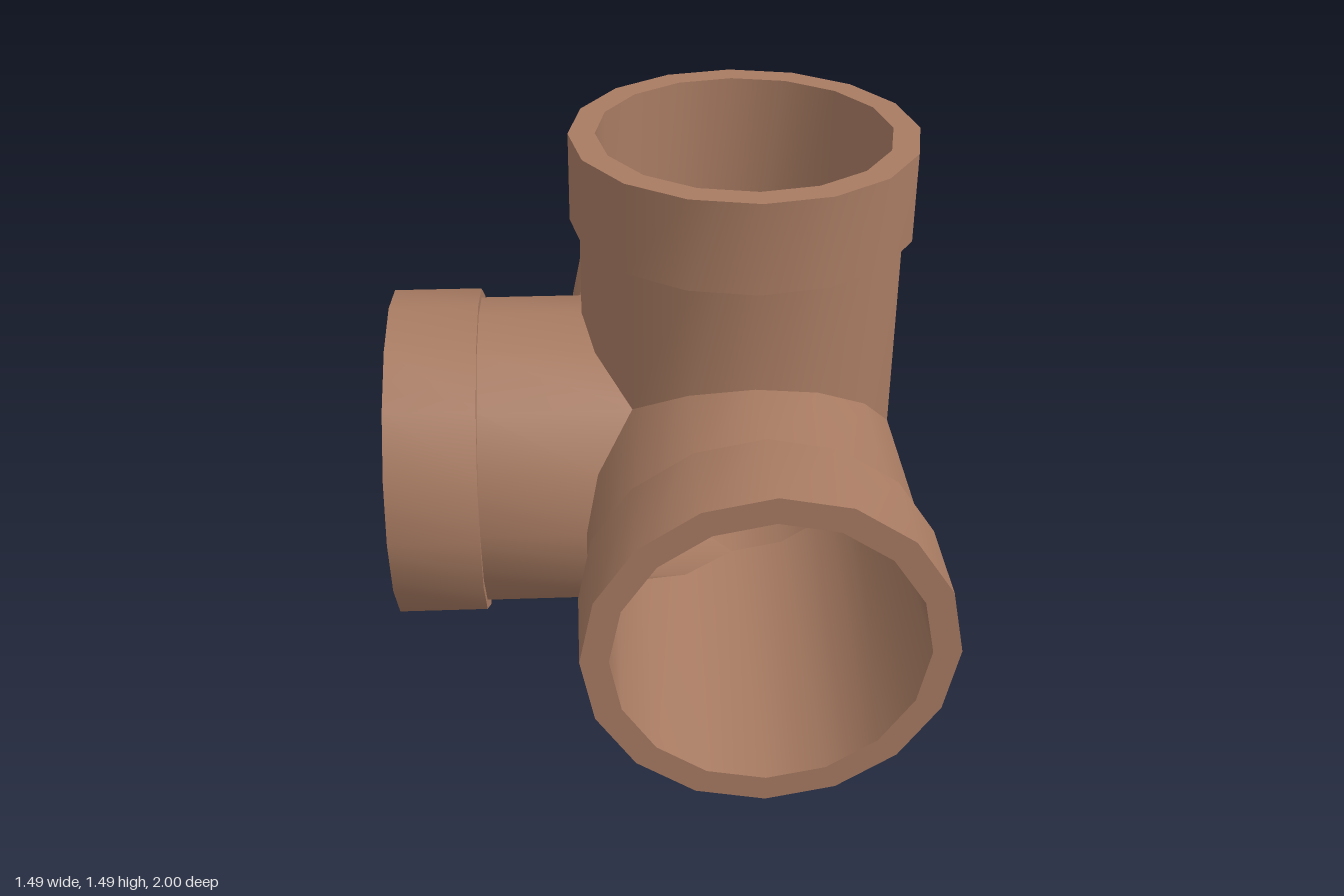
import * as THREE from 'three';
import { mergeGeometries } from 'three/addons/utils/BufferGeometryUtils.js';

const SIDES = 16;
const BODY = 0.455, COLLAR = 0.482, BORE = 0.408;

// the four open arms of the fitting, all meeting at one centre
const ARMS = [
  { name: 'frontArm', dir: new THREE.Vector3(0, 0, 1), length: 1, collar: 0.74 },
  { name: 'backArm', dir: new THREE.Vector3(0, 0, -1), length: 1, collar: 0.745 },
  { name: 'topArm', dir: new THREE.Vector3(0, 1, 0), length: 1.005, collar: 0.75 },
  { name: 'sideArm', dir: new THREE.Vector3(-1, 0, 0), length: 1.005, collar: 0.75 },
];

// one arm: outer wall, shoulder, collar, rim and bore, mitred against its neighbours
function armGeometry(arm) {
  const d = arm.dir;
  const u = Math.abs(d.y) > 0.5 ? new THREE.Vector3(1, 0, 0) : new THREE.Vector3(0, 1, 0);
  const v = new THREE.Vector3().crossVectors(d, u);
  const others = ARMS.filter((a) => a !== arm);

  // t = null means the point lies on the mitre line with the neighbouring arms
  const point = (r, t, i) => {
    const a = (i / SIDES) * Math.PI * 2;
    const p = u.clone().multiplyScalar(r * Math.cos(a)).addScaledVector(v, r * Math.sin(a));
    const along = t === null ? Math.max(0, ...others.map((o) => p.dot(o.dir))) : t;
    return p.addScaledVector(d, along);
  };

  // closed ring of quads between two profile points, smooth around the ring
  const strip = ([r0, t0], [r1, t1]) => {
    const positions = [], index = [];
    for (let i = 0; i < SIDES; i++) {
      positions.push(...point(r0, t0, i).toArray(), ...point(r1, t1, i).toArray());
      const a = i * 2, b = ((i + 1) % SIDES) * 2;
      index.push(a, b, b + 1, a, b + 1, a + 1);
    }
    const g = new THREE.BufferGeometry();
    g.setAttribute('position', new THREE.Float32BufferAttribute(positions, 3));
    g.setIndex(index);
    g.computeVertexNormals();
    return g;
  };

  const profile = [
    [BODY, null], [BODY, arm.collar], [COLLAR, arm.collar],
    [COLLAR, arm.length], [BORE, arm.length], [BORE, null],
  ];
  return mergeGeometries(profile.slice(1).map((p, i) => strip(profile[i], p)));
}

export function createModel() {
  const clay = new THREE.MeshStandardMaterial({ color: 0xa87b62 });
  clay.name = 'clay brown';

  const group = new THREE.Group();
  group.name = 'pipeFitting';
  for (const arm of ARMS) {
    const mesh = new THREE.Mesh(armGeometry(arm), clay);
    mesh.name = arm.name;
    mesh.position.set(0.26, 0.483, 0);
    group.add(mesh);
  }
  return group;
}
